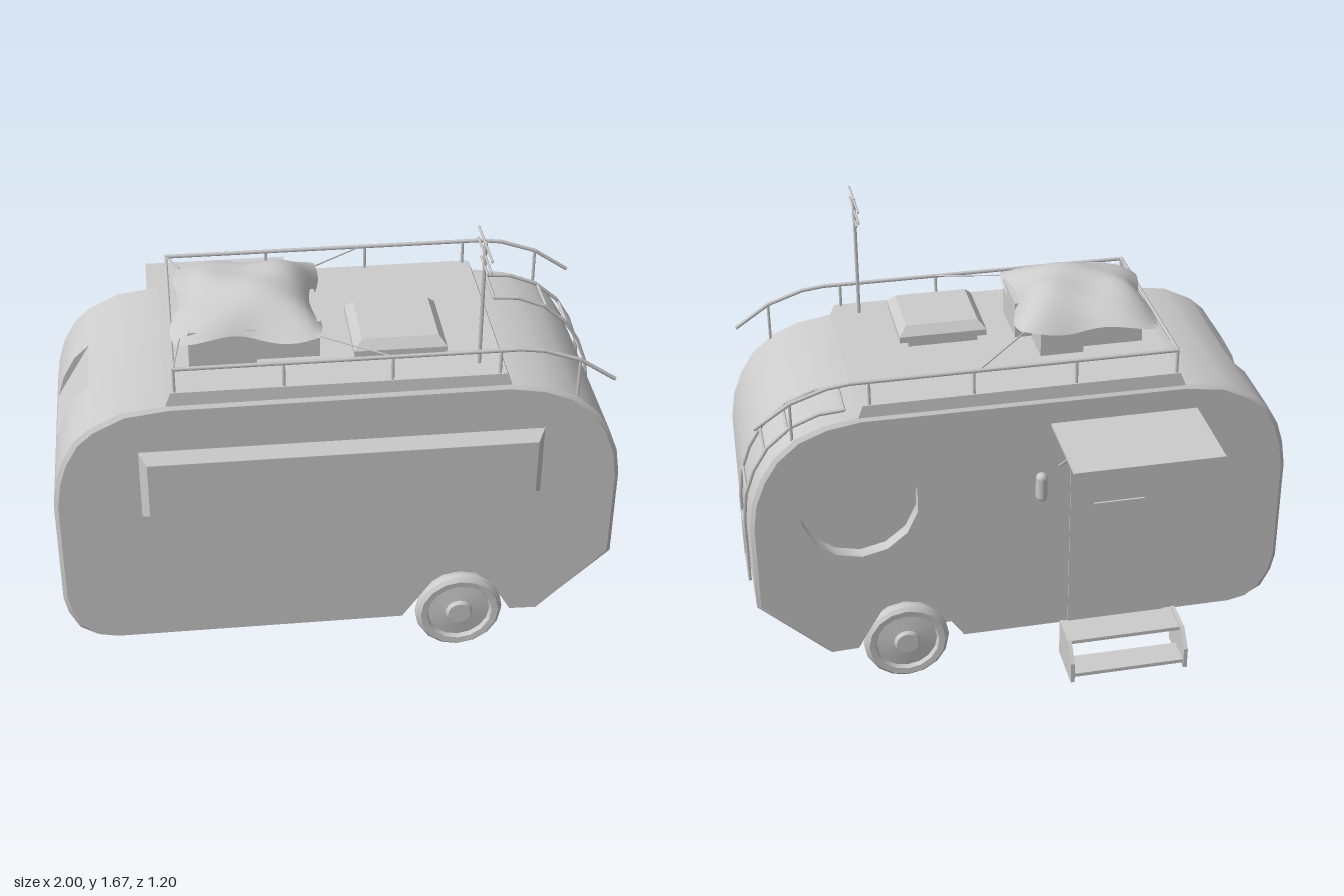
import * as THREE from 'three';
import { toCreasedNormals } from 'three/addons/utils/BufferGeometryUtils.js';

const mat = new THREE.MeshStandardMaterial({ color: 0xcccccc, side: THREE.DoubleSide });
const V = (x, y, z) => new THREE.Vector3(x, y, z);
const BACK = -0.26, FRONT = 0.555, BEVEL = 0.012;

export function createModel() {
  const model = new THREE.Group();

  const add = (name, geo, x = 0, y = 0, z = 0) => {
    const m = new THREE.Mesh(geo, mat);
    m.name = name;
    m.position.set(x, y, z);
    model.add(m);
    return m;
  };
  // box given by its limits
  const box = (name, x0, x1, y0, y1, z0, z1) =>
    add(name, new THREE.BoxGeometry(x1 - x0, y1 - y0, z1 - z0), (x0 + x1) / 2, (y0 + y1) / 2, (z0 + z1) / 2);
  // box whose top face is inset on all sides, standing on its origin
  const frustum = (w, h, d, inX, inZ) => {
    const g = new THREE.BoxGeometry(w, h, d).translate(0, h / 2, 0).toNonIndexed();
    const p = g.attributes.position;
    for (let i = 0; i < p.count; i++) if (p.getY(i) > h / 2) {
      p.setX(i, p.getX(i) - Math.sign(p.getX(i)) * inX);
      p.setZ(i, p.getZ(i) - Math.sign(p.getZ(i)) * inZ);
    }
    g.computeVertexNormals();
    return g;
  };
  // thin round bars through a list of points
  const rods = (name, pts, r = 0.006) => {
    for (let i = 0; i < pts.length - 1; i++) {
      const d = pts[i + 1].clone().sub(pts[i]);
      const m = add(name, new THREE.CylinderGeometry(r, r, d.length() + r * 0.6, 6));
      m.position.copy(pts[i]).addScaledVector(d, 0.5);
      m.quaternion.setFromUnitVectors(V(0, 1, 0), d.normalize());
    }
  };
  const quads = (list, crease = 0.6) => {
    const g = new THREE.BufferGeometry().setFromPoints(list.flatMap(([a, b, c, d]) => [a, b, c, a, c, d]));
    return toCreasedNormals(g, crease);
  };

  // body outline, from the lower tail over the roof to the lower nose
  const outline = [
    [0.73, 0.172], [0.98, 0.41], [0.98, 0.76], [0.965, 0.86], [0.93, 0.95], [0.88, 1.03], [0.8, 1.1], [0.7, 1.14],
    [0.58, 1.16], [-0.6, 1.155], [-0.75, 1.135], [-0.86, 1.08], [-0.915, 1.03], [-0.96, 0.95], [-0.985, 0.87],
    [-1, 0.77], [-1, 0.36], [-0.985, 0.29], [-0.95, 0.22], [-0.9, 0.19], [-0.83, 0.175]];
  const inset = outline.map(([x, y]) => [x * 0.985, y < 0.2 ? y : 0.67 + (y - 0.67) * 0.975]);
  const hatchA = 11, hatchB = 14, hz0 = 0.01, hz1 = 0.28;

  // skin, bevelled at both walls, with a gap for the nose hatch
  const skin = [];
  const strip = (a, b, c, d, z0, z1) => skin.push([V(...a, z0), V(...b, z0), V(...c, z1), V(...d, z1)]);
  for (let i = 0; i < outline.length - 1; i++) {
    const a = outline[i], b = outline[i + 1], ia = inset[i], ib = inset[i + 1];
    strip(ia, ib, b, a, BACK, BACK + BEVEL);
    if (i >= hatchA && i < hatchB) {
      strip(a, b, b, a, BACK + BEVEL, hz0);
      strip(a, b, b, a, hz1, FRONT - BEVEL);
    } else strip(a, b, b, a, BACK + BEVEL, FRONT - BEVEL);
    strip(a, b, ib, ia, FRONT - BEVEL, FRONT);
  }
  add('bodySkin', quads(skin));

  // sunken flat nose hatch
  const hatch = outline.slice(hatchA, hatchB + 1);
  add('noseHatch', quads([[V(...hatch[0], hz0), V(...hatch[3], hz0), V(...hatch[3], hz1), V(...hatch[0], hz1)]]));
  for (const z of [hz0, hz1])
    add('noseHatchSide', new THREE.ShapeGeometry(new THREE.Shape(hatch.map(p => new THREE.Vector2(...p)))), 0, 0, z);

  // side walls with wheel arch notch; the back one has a round window
  const arch = [[0.22, 0.175], [0.35, 0.365], [0.51, 0.365], [0.62, 0.175]];
  const wallShape = () => new THREE.Shape([...inset, ...arch].map(p => new THREE.Vector2(...p)));
  add('frontWall', new THREE.ShapeGeometry(wallShape()), 0, 0, FRONT);
  const backShape = wallShape();
  const ring = [];
  for (let i = 0; i < 14; i++) {
    const t = (i + 0.5) / 14 * Math.PI * 2;
    ring.push(new THREE.Vector2(0.59 + 0.215 * Math.cos(t), 0.8 + 0.215 * Math.sin(t)));
  }
  backShape.holes.push(new THREE.Path(ring));
  const backGeo = new THREE.ShapeGeometry(backShape);
  backGeo.setIndex([...backGeo.index.array].reverse());
  backGeo.computeVertexNormals();
  add('backWall', backGeo, 0, 0, BACK);
  add('roundWindowRim', quads(ring.map((p, i) => {
    const q = ring[(i + 1) % 14];
    return [V(p.x, p.y, BACK), V(q.x, q.y, BACK), V(q.x, q.y, BACK + 0.05), V(p.x, p.y, BACK + 0.05)];
  })));
  add('roundWindowPane', new THREE.ShapeGeometry(new THREE.Shape(ring)).rotateY(Math.PI), 1.18 - 1.18 + 0, 0, 0);
  const pane = model.getObjectByName('roundWindowPane');
  pane.position.set(1.18, 0, BACK + 0.05);

  // wheel arch liners and wheels
  const tyre = [[0.05, 0.02], [0.115, 0.012], [0.122, 0.028], [0.145, 0.03], [0.158, 0.018], [0.163, 0],
    [0.158, -0.018], [0.145, -0.03], [0.0001, -0.03]].map(p => new THREE.Vector2(...p));
  const hub = [[0.0001, 0.034], [0.042, 0.034], [0.05, 0.02]].map(p => new THREE.Vector2(...p));
  for (const [z, s] of [[FRONT, 1], [BACK, -1]]) {
    const zi = z - s * 0.09;
    add('archLiner', quads(arch.slice(0, 3).map((p, i) =>
      [V(...p, z), V(...arch[i + 1], z), V(...arch[i + 1], zi), V(...p, zi)])));
    add('archInnerWall', new THREE.ShapeGeometry(new THREE.Shape(arch.map(p => new THREE.Vector2(...p)))), 0, 0, zi);
    const g = new THREE.LatheGeometry([...hub, ...tyre.slice(1)], 16);
    add('wheel', toCreasedNormals(g, 0.5), 0.435, 0.164, z - s * 0.036).rotation.x = s * Math.PI / 2;
  }

  // raised roof and roof vent
  add('raisedRoof', frustum(1.2, 0.075, 0.8, 0.03, 0.008), -0.01, 1.127, 0.147);
  box('ventBase', 0.08, 0.335, 1.2, 1.235, 0.15, 0.4);
  box('ventLidEdge', 0.05, 0.37, 1.232, 1.255, 0.125, 0.43);
  add('ventLid', frustum(0.32, 0.032, 0.305, 0.028, 0.028), 0.21, 1.255, 0.2775);

  // long serving window
  add('frontWindow', frustum(1.4, 0.042, 0.27, 0.027, 0.03), 0, 0.845, FRONT).rotation.x = Math.PI / 2;

  // door, door bar and wall lamp
  box('door', -0.555, -0.18, 0.18, 1.02, BACK - 0.005, BACK + 0.01);
  box('doorBar', -0.46, -0.27, 0.695, 0.705, BACK - 0.012, BACK);
  add('wallLamp', new THREE.CapsuleGeometry(0.022, 0.075, 4, 10), -0.07, 0.805, BACK - 0.012);

  // awning with struts
  box('awning', -0.645, -0.105, 1.05, 1.06, -0.6, BACK);
  for (const x of [-0.61, -0.14]) rods('awningStrut', [V(x, 0.88, BACK), V(x, 1.052, -0.47)]);

  // entrance steps
  const cheek = new THREE.Shape([[0.27, 0.04], [0.46, 0.04], [0.46, 0.125], [0.4, 0.19], [0.27, 0.19]]
    .map(p => new THREE.Vector2(...p)));
  for (const x of [-0.6, -0.162])
    add('stepCheek', new THREE.ExtrudeGeometry(cheek, { depth: 0.015, bevelEnabled: false })
      .rotateY(Math.PI / 2), x, 0, 0);
  box('upperStep', -0.59, -0.155, 0.165, 0.18, -0.39, -0.26);
  box('lowerStep', -0.59, -0.155, 0.06, 0.075, -0.455, -0.35);

  // roof rails
  for (const z of [0.53, -0.235]) {
    rods('roofRail', [V(-0.567, 1.29, z), V(0.6, 1.29, z), V(0.68, 1.28, z), V(0.81, 1.235, z), V(0.935, 1.15, z)], 0.007);
    for (const [x, y0, y1] of [[-0.567, 1.16, 1.29], [-0.2, 1.19, 1.29], [0.167, 1.19, 1.29], [0.535, 1.19, 1.29], [0.81, 1.09, 1.235]])
      rods('railPost', [V(x, y0, z), V(x, y1, z)]);
  }
  rods('roofRailEnd', [V(-0.567, 1.29, 0.53), V(-0.567, 1.29, -0.235)], 0.007);

  // ladder following the tail
  const side = [[0.62, 1.165], [0.71, 1.158], [0.81, 1.118], [0.895, 1.045], [0.948, 0.96], [0.982, 0.865], [0.994, 0.76], [0.994, 0.5]];
  for (const z of [-0.025, -0.193]) rods('ladderRail', side.map(p => V(...p, z)), 0.007);
  for (const [x, y] of [[0.62, 1.165], [0.82, 1.11], [0.905, 1.03], [0.977, 0.88], [0.994, 0.69], [0.994, 0.5]])
    rods('ladderRung', [V(x, y, -0.025), V(x, y, -0.193)]);

  // aerial
  rods('aerialMast', [V(0.475, 1.19, 0.46), V(0.475, 1.665, 0.46)], 0.007);
  for (const [y, l] of [[1.662, 0.122], [1.62, 0.122], [1.582, 0.062]])
    rods('aerialBar', [V(0.475, y, 0.46 - l), V(0.475, y, 0.46 + l)], 0.004);

  // luggage boxes
  box('largeBox', -0.51, -0.28, 1.2, 1.34, 0.02, 0.39);
  box('mediumBox', -0.28, -0.06, 1.2, 1.34, 0.14, 0.36);
  box('smallBox', -0.28, -0.12, 1.2, 1.31, -0.02, 0.12);

  // draped cover, bulging in the middle, wrinkled and sagging at the rim
  const cover = new THREE.PlaneGeometry(2, 2, 18, 18).rotateX(-Math.PI / 2);
  const p = cover.attributes.position;
  for (let i = 0; i < p.count; i++) {
    const u = p.getX(i), w = p.getZ(i);
    const dome = (1 - Math.abs(u) ** 4) * (1 - Math.abs(w) ** 2.6);
    const pinch = 1 - 0.06 * Math.cos(u * 4.7) * w * w - 0.05 * Math.cos(w * 4.7) * u * u;
    const wrinkle = 0.007 * Math.sin(5 * u + 3 * w) + 0.005 * Math.sin(7 * w - 4 * u);
    p.setXYZ(i, -0.3 + (0.245 * u - 0.015 * w) * pinch,
      1.318 + 0.105 * dome + 0.012 * u * dome + wrinkle,
      0.17 + (0.25 * w + 0.02 * u) * pinch);
  }
  cover.computeVertexNormals();
  add('luggageCover', cover);
  for (const [a, b] of [
    [V(-0.52, 1.32, -0.09), V(-0.567, 1.29, -0.235)], [V(-0.06, 1.32, -0.04), V(0.15, 1.29, -0.235)],
    [V(-0.07, 1.32, 0.42), V(0.17, 1.29, 0.53)], [V(-0.54, 1.32, 0.39), V(-0.567, 1.29, 0.53)]])
    rods('tieRope', [a, b], 0.003);

  return model;
}
